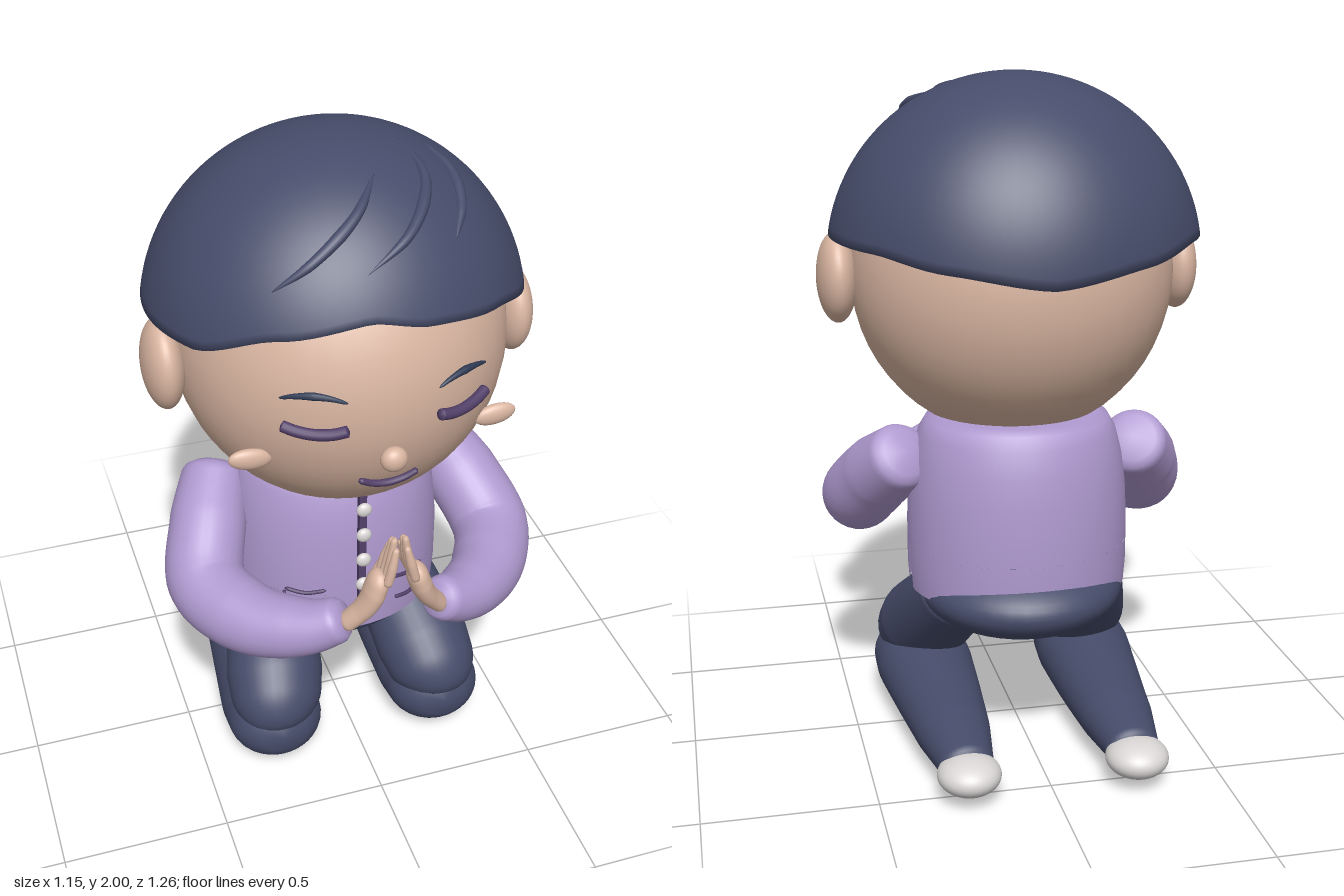
import * as THREE from 'three';
import { mergeVertices } from 'three/addons/utils/BufferGeometryUtils.js';

const V = (p) => new THREE.Vector3(...p);
const mat = (name, color, side = THREE.FrontSide) => {
  const m = new THREE.MeshStandardMaterial({ color, side });
  m.name = name;
  return m;
};

// Mixes a list of evenly spaced values at u in 0..1
function mix(list, u) {
  const t = u * (list.length - 1);
  const i = Math.min(Math.floor(t), list.length - 2);
  return THREE.MathUtils.lerp(list[i], list[i + 1], t - i);
}

// Smooth normals shared across seams
function smooth(geo) {
  geo.deleteAttribute('normal');
  geo.deleteAttribute('uv');
  const g = mergeVertices(geo, 1e-5);
  g.computeVertexNormals();
  return g;
}

// Closed tube along a curve with varying radius; caps are fractions of its length
function limb(pts, radii, { caps = [0.1, 0.1], flat = [1, 1, 1], n = 40, sides = 24 } = {}) {
  const curve = new THREE.CatmullRomCurve3(pts.map(V));
  const geo = new THREE.TubeGeometry(curve, n, 1, sides);
  const pos = geo.attributes.position, v = new THREE.Vector3(), f = V(flat);
  const dome = (d, cap) => (d >= cap ? 1 : Math.sqrt(Math.max(0, 1 - (1 - d / cap) ** 2)));
  for (let i = 0; i < pos.count; i++) {
    const u = Math.floor(i / (sides + 1)) / n;
    const c = curve.getPointAt(u);
    const r = mix(radii, u) * dome(u, caps[0]) * dome(1 - u, caps[1]);
    v.fromBufferAttribute(pos, i).sub(c).multiplyScalar(r).multiply(f).add(c);
    pos.setXYZ(i, v.x, v.y, v.z);
  }
  return smooth(geo);
}

const HEAD = { c: [0, 1.42, 0.045], r: [0.48, 0.5, 0.485] };
const headZ = (x, y) => HEAD.c[2] + HEAD.r[2] *
  Math.sqrt(Math.max(0, 1 - (x / HEAD.r[0]) ** 2 - ((y - HEAD.c[1]) / HEAD.r[1]) ** 2));
const torsoZ = (x) => -0.035 + 0.31 * Math.sqrt(1 - (x / 0.335) ** 2);

// Height of the hair's lower edge by angle from the front
const FRINGE = [[-180, 1.46], [-150, 1.5], [-125, 1.535], [-90, 1.54], [-60, 1.555], [-34, 1.635],
  [-5, 1.68], [14, 1.645], [40, 1.61], [66, 1.55], [90, 1.54], [125, 1.535], [150, 1.5], [180, 1.46]];
function fringeY(deg) {
  let k = 0;
  while (k < FRINGE.length - 2 && deg > FRINGE[k + 1][0]) k++;
  const [a, ya] = FRINGE[k], [b, yb] = FRINGE[k + 1];
  const t = THREE.MathUtils.clamp((deg - a) / (b - a), 0, 1);
  return THREE.MathUtils.lerp(ya, yb, 0.5 * t + 0.5 * t * t * (3 - 2 * t));
}

// Hair cap: a dome that turns in at the fringe and runs back up inside
function hairCap() {
  const W = 96, H = 40, outer = 28;
  const geo = new THREE.SphereGeometry(1, W, H);
  const pos = geo.attributes.position;
  for (let i = 0; i < pos.count; i++) {
    const row = Math.floor(i / (W + 1));
    const deg = ((i % (W + 1)) / W) * 360 - 180;
    const a = THREE.MathUtils.degToRad(deg);
    const edge = Math.acos((fringeY(deg) - 1.46) / 0.54);
    const inside = row > outer;
    const th = inside ? edge * (1 - 0.5 * (row - outer - 1) / (H - outer - 1)) : edge * row / outer;
    const s = inside ? 0.95 : 1;
    pos.setXYZ(i, 0.55 * s * Math.sin(th) * Math.sin(a), 1.46 + 0.54 * s * Math.cos(th),
      0.53 * s * Math.sin(th) * Math.cos(a));
  }
  return smooth(geo);
}

export function createModel() {
  const root = new THREE.Group();
  root.name = 'kneelingChild';
  const skin = mat('skin', 0xdab6a2);
  const navy = mat('navy', 0x464c6a);
  const lilac = mat('lilac', 0xb09ad0, THREE.DoubleSide);
  const plum = mat('plum', 0x53406a);
  const brow = mat('brow', 0x2f3b55);
  const white = mat('white', 0xdad6d6);

  const add = (name, geo, material) => {
    const m = new THREE.Mesh(geo, material);
    m.name = name;
    root.add(m);
    return m;
  };
  const ball = (name, c, r, material, tilt = 0) => {
    const m = add(name, new THREE.SphereGeometry(1, 40, 28), material);
    m.position.set(...c);
    m.scale.set(...r);
    m.rotation.z = tilt;
    return m;
  };

  // Head and hair
  ball('head', HEAD.c, HEAD.r, skin);
  add('hair', hairCap(), navy);
  const strands = [
    [[-0.28, 0.36], [-0.17, 0.365], [-0.04, 0.31], [0.05, 0.2]],
    [[-0.04, 0.42], [0.1, 0.35], [0.19, 0.2], [0.17, 0.04]],
    [[0.23, 0.34], [0.28, 0.24], [0.29, 0.13], [0.25, 0.02]],
  ];
  for (const s of strands) {
    const pts = s.map(([x, z]) =>
      [x, 1.46 + 0.54 * Math.sqrt(1 - (x / 0.55) ** 2 - (z / 0.53) ** 2), z]);
    add('hairStrand', limb(pts, [0.003, 0.014, 0.018, 0.014, 0.003], { sides: 10 }), navy);
  }

  // Nose and mouth
  ball('nose', [0, 1.285, 0.535], [0.038, 0.037, 0.03], skin);
  const mouth = [-0.085, -0.045, 0, 0.045, 0.085].map((x) => {
    const y = 1.178 + 4 * x * x;
    return [x, y, headZ(x, y) + 0.022];
  });
  add('mouth', limb(mouth, [0.009, 0.011, 0.009], { sides: 10, caps: [0.05, 0.05] }), plum);

  // Torso: jacket body with the hem split at both sides
  const lathe = (name, profile, start, length) => {
    const g = new THREE.LatheGeometry(profile.map((p) => new THREE.Vector2(...p)), 64, start, length);
    g.scale(0.335, 1, 0.31);
    add(name, g, lilac).position.z = -0.035;
  };
  lathe('jacketBody', [[1, 0.61], [1, 0.68], [0.985, 0.78], [0.95, 0.87], [0.89, 0.95], [0.82, 0.99],
    [0.72, 1.005], [0.01, 1.01]], 0, Math.PI * 2);
  const hem = [[0.985, 0.47], [1, 0.54], [1, 0.61]];
  lathe('jacketFrontHem', hem, -1.46, 2.92);
  lathe('jacketBackHem', hem, 1.68, 2.92);

  // Front closure
  const placket = add('placket', new THREE.BoxGeometry(0.022, 0.46, 0.022), plum);
  placket.position.set(0, 0.77, 0.282);
  for (let i = 0; i < 5; i++) {
    ball('button', [0, 0.57 + i * 0.093, 0.3], [0.023, 0.023, 0.015], white);
  }

  // Hips
  ball('hips', [0, 0.465, -0.075], [0.31, 0.13, 0.325], navy);

  for (const s of [1, -1]) {
    const P = (list) => list.map(([x, y, z]) => [s * x, y, z]);

    // Ear, cheek, brow, closed eye
    ball('ear', [s * 0.517, 1.408, 0.07], [0.06, 0.135, 0.115], skin);
    ball('cheek', [s * 0.355, 1.257, 0.38], [0.062, 0.032, 0.02], skin, -s * -0.12);
    const arc = (y0, bend, lift) => [0.125, 0.165, 0.21, 0.255, 0.29].map((x) => {
      const y = y0 + bend * ((x - 0.208) / 0.083) ** 2;
      return [s * x, y, headZ(x, y) + lift];
    });
    add('brow', limb(arc(1.498, -0.018, 0.015), [0.004, 0.011, 0.004], { sides: 10 }), brow);
    add('closedEye', limb(arc(1.386, 0.016, 0.022), [0.016, 0.016], { sides: 12, caps: [0.03, 0.03] }), plum);

    // Pocket piping
    const line = (pts) => add('pocketPiping',
      limb(pts.map(([x, y]) => [s * x, y, torsoZ(x) + 0.006]), [0.006, 0.006],
        { sides: 8, n: 16, caps: [0.02, 0.02] }), plum);
    line([[0.105, 0.635], [0.165, 0.622], [0.22, 0.628]]);
    line([[0.22, 0.62], [0.22, 0.545]]);
    line([[0.22, 0.545], [0.165, 0.54], [0.115, 0.55]]);

    // Sleeve
    add('sleeve', limb(P([[0.34, 0.915, -0.1], [0.41, 0.805, 0.05], [0.452, 0.7, 0.19],
      [0.37, 0.68, 0.36], [0.24, 0.715, 0.485], [0.13, 0.775, 0.55]]),
    [0.095, 0.115, 0.118, 0.11, 0.09, 0.06], { caps: [0.05, 0.035], n: 60, sides: 32 }), lilac);

    // Hand raised palm to palm
    add('palm', limb(P([[0.15, 0.755, 0.555], [0.085, 0.845, 0.585], [0.045, 0.955, 0.587]]),
      [0.03, 0.034, 0.044, 0.042], { flat: [0.7, 1, 1], caps: [0.1, 0.2] }), skin);
    [1.03, 1.06, 1.07, 1.045].forEach((top, k) => {
      const z = 0.557 + k * 0.021;
      add('finger', limb(P([[0.043, 0.92, z], [0.028, 0.98, z], [0.014, top, z * 0.8 + 0.117]]),
        [0.014, 0.014, 0.009], { sides: 10, n: 20 }), skin);
    });
    add('thumb', limb(P([[0.07, 0.87, 0.565], [0.045, 0.92, 0.542], [0.022, 0.97, 0.548]]),
      [0.015, 0.014, 0.01], { sides: 10, n: 20 }), skin);

    // Folded leg and shoe
    add('thigh', limb(P([[0.18, 0.49, -0.13], [0.225, 0.35, 0.06], [0.265, 0.19, 0.26], [0.268, 0.13, 0.3]]),
      [0.12, 0.135, 0.148, 0.125], { caps: [0.08, 0.2], flat: [1.03, 0.93, 0.93], n: 50, sides: 32 }), navy);
    add('shin', limb(P([[0.266, 0.15, 0.36], [0.265, 0.128, 0.2], [0.255, 0.105, -0.1], [0.245, 0.088, -0.53]]),
      [0.13, 0.138, 0.12, 0.1, 0.066], { caps: [0.15, 0.03], flat: [1.1, 0.9, 1], n: 50, sides: 32 }), navy);
    ball('shoe', [s * 0.247, 0.082, -0.535], [0.092, 0.056, 0.095], white);
  }
  return root;
}
